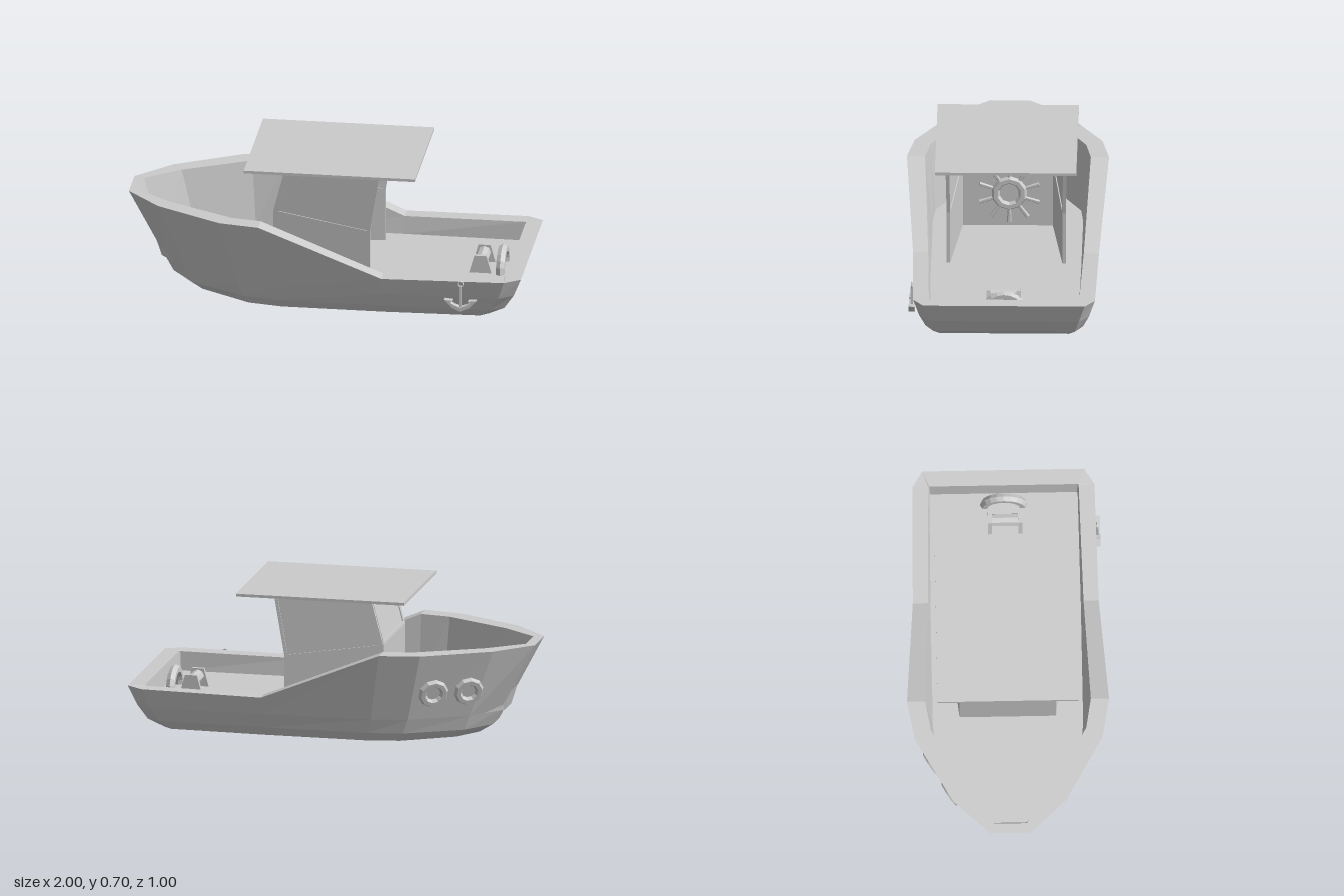
import * as THREE from 'three';

const material = new THREE.MeshStandardMaterial({ color: 0xcccccc, flatShading: true, side: THREE.DoubleSide });

function add(parent, name, geometry, x = 0, y = 0, z = 0) {
  const mesh = new THREE.Mesh(geometry, material);
  mesh.name = name;
  mesh.position.set(x, y, z);
  parent.add(mesh);
  return mesh;
}

// Hull rows from keel to inner floor; each holds [x, y, half width] from bow to stern
const FLOOR = 0.12;
const KEEL = [[-0.71, 0.06], [-0.62, 0.19], [-0.37, 0.34], [-0.2, 0.37], [0.31, 0.37], [0.79, 0.355], [0.83, 0.32]].map(([x, z]) => [x, 0, z]);
const BILGE = [[-0.78, 0.075], [-0.67, 0.22], [-0.39, 0.37], [-0.22, 0.4], [0.31, 0.4], [0.84, 0.39], [0.91, 0.35]].map(([x, z]) => [x, 0.045, z]);
const SIDE = [[-0.82, 0.08], [-0.7, 0.23], [-0.42, 0.385], [-0.24, 0.42], [0.31, 0.435], [0.89, 0.42], [0.96, 0.37]].map(([x, z]) => [x, 0.12, z]);
const RIM_Y = [0.465, 0.465, 0.465, 0.465, 0.21, 0.217, 0.22];
const RIM = [[-1, 0.1], [-0.83, 0.28], [-0.5, 0.465], [-0.3, 0.5], [0.31, 0.46], [0.92, 0.45], [1, 0.4]].map(([x, z], i) => [x, RIM_Y[i], z]);
const INNER = [[-0.95, 0.08], [-0.78, 0.215], [-0.45, 0.385], [-0.3, 0.41], [0.31, 0.385], [0.915, 0.372], [0.92, 0.367]].map(([x, z], i) => [x, RIM_Y[i], z]);
const DECK = [[-0.84, 0.07], [-0.7, 0.22], [-0.43, 0.36], [-0.3, 0.372], [0.31, 0.372], [0.91, 0.367], [0.915, 0.362]].map(([x, z]) => [x, FLOOR, z]);

function hullGeometry() {
  const rows = [KEEL, BILGE, SIDE, RIM, INNER, DECK];
  const n = KEEL.length, loop = 2 * n;
  const positions = [], index = [];
  for (const row of rows) {
    for (const [x, y, z] of row) positions.push(x, y, z);
    for (const [x, y, z] of [...row].reverse()) positions.push(x, y, -z);
  }
  for (let r = 0; r < rows.length - 1; r++) {
    for (let i = 0; i < loop; i++) {
      const a = r * loop + i, b = r * loop + (i + 1) % loop;
      index.push(a, b, b + loop, a, b + loop, a + loop);
    }
  }
  // Bottom and floor strips joining the two sides
  const top = (rows.length - 1) * loop;
  for (let i = 0; i < n - 1; i++) {
    const j = loop - 1 - i;
    index.push(i, j, j - 1, i, j - 1, i + 1);
    index.push(top + i, top + i + 1, top + j - 1, top + i, top + j - 1, top + j);
  }
  const geometry = new THREE.BufferGeometry();
  geometry.setAttribute('position', new THREE.Float32BufferAttribute(positions, 3));
  geometry.setIndex(index);
  const flat = geometry.toNonIndexed();
  flat.computeVertexNormals();
  return flat;
}

// Extruded outline centred on its thickness, with an optional hole
function slab(points, depth, hole) {
  const toVectors = list => list.map(p => new THREE.Vector2(...p));
  const shape = new THREE.Shape(toVectors(points));
  if (hole) shape.holes.push(new THREE.Path(toVectors(hole)));
  return new THREE.ExtrudeGeometry(shape, { depth, bevelEnabled: false }).translate(0, 0, -depth / 2);
}

// Move every vertex by a rule
function bend(geometry, rule) {
  const p = geometry.attributes.position;
  const v = new THREE.Vector3();
  for (let i = 0; i < p.count; i++) {
    rule(v.fromBufferAttribute(p, i));
    p.setXYZ(i, v.x, v.y, v.z);
  }
  geometry.computeVertexNormals();
  return geometry;
}

function createCabin() {
  const cabin = new THREE.Group();
  cabin.name = 'cabin';
  const outline = [[-0.26, FLOOR], [0.23, FLOOR], [0.23, 0.39], [0.28, 0.69], [-0.2, 0.69], [-0.26, 0.455]];
  const pane = [[-0.235, 0.455], [0.215, 0.395], [0.262, 0.678], [-0.182, 0.678]];
  // Side walls spread apart towards the stern
  for (const s of [1, -1]) {
    const spread = v => { v.z += s * (0.23 + (v.x + 0.26) * 0.115); };
    const side = s > 0 ? 'left' : 'right';
    add(cabin, side + 'Wall', bend(slab(outline, 0.018, pane), spread));
    add(cabin, side + 'Window', bend(slab(pane, 0.008), spread));
  }
  // Front wall, with a windscreen leaning aft
  add(cabin, 'frontWall', new THREE.BoxGeometry(0.018, 0.46 - FLOOR, 0.45), -0.252, (0.46 + FLOOR) / 2, 0);
  const lean = v => { v.x += -0.252 + (v.y - 0.46) * 0.26; };
  const rect = (w, low, high) => [[-w, low], [w, low], [w, high], [-w, high]];
  const glass = rect(0.205, 0.475, 0.678);
  add(cabin, 'windscreenFrame', bend(slab(rect(0.225, 0.46, 0.69), 0.018, glass).rotateY(Math.PI / 2), lean));
  add(cabin, 'windscreen', bend(slab(glass, 0.008).rotateY(Math.PI / 2), lean));
  add(cabin, 'roof', new THREE.BoxGeometry(0.855, 0.014, 0.7), 0.035, 0.698, 0);
  return cabin;
}

function createWheel() {
  const wheel = new THREE.Group();
  wheel.name = 'steeringWheel';
  const ring = new THREE.TorusGeometry(0.07, 0.021, 6, 10).rotateZ(Math.PI / 10).rotateY(Math.PI / 2);
  add(wheel, 'wheelRing', ring);
  for (let i = 0; i < 10; i++) {
    const spoke = new THREE.CylinderGeometry(0.011, 0.009, 0.075, 6).translate(0, 0.118, 0);
    add(wheel, 'wheelSpoke', spoke.rotateX(i * Math.PI / 5));
  }
  add(wheel, 'wheelAxle', new THREE.CylinderGeometry(0.012, 0.012, 0.05, 6).rotateZ(Math.PI / 2), -0.02, 0.07, 0);
  wheel.position.set(-0.205, 0.31, -0.008);
  return wheel;
}

function createWinch() {
  const winch = new THREE.Group();
  winch.name = 'winch';
  const plate = [[-0.055, 0], [0.055, 0], [0.03, 0.09], [-0.03, 0.09]];
  for (const s of [1, -1]) add(winch, 'winchBracket', slab(plate, 0.02), 0, 0, s * 0.075);
  add(winch, 'winchDrum', new THREE.CylinderGeometry(0.032, 0.032, 0.14, 8).rotateX(Math.PI / 2), 0, 0.052, 0);
  winch.position.set(0.755, FLOOR, 0.005);
  return winch;
}

function createAnchor() {
  const anchor = new THREE.Group();
  anchor.name = 'anchor';
  add(anchor, 'anchorRing', new THREE.TorusGeometry(0.014, 0.005, 5, 8), 0, 0.203, 0);
  add(anchor, 'anchorShank', new THREE.BoxGeometry(0.014, 0.12, 0.014), 0, 0.135, 0);
  // Arms sweep up from the crown to flared flukes
  const half = [[0.045, 0.083], [0.082, 0.122], [0.04, 0.118], [0.052, 0.108], [0.03, 0.094]];
  const mirrored = half.map(([x, y]) => [-x, y]).reverse();
  add(anchor, 'anchorArms', slab([[0, 0.062], ...half, [0, 0.084], ...mirrored], 0.03));
  anchor.position.set(0.706, 0, 0.46);
  return anchor;
}

// Ring fenders lying flat on the right bow panel
function addFenders(boat) {
  const corner = ([x, y, z]) => new THREE.Vector3(x, y, -z);
  const [a, b, c, d] = [SIDE[1], SIDE[2], RIM[1], RIM[2]].map(corner);
  const normal = b.clone().sub(c).cross(a.clone().sub(d)).normalize();
  if (normal.z > 0) normal.negate();
  for (const u of [0.17, 0.7]) {
    const low = a.clone().lerp(b, u), high = c.clone().lerp(d, u);
    const p = low.lerp(high, 0.41).addScaledVector(normal, 0.008);
    const ring = add(boat, 'bowRing', new THREE.TorusGeometry(0.056, 0.021, 6, 10), p.x, p.y, p.z);
    ring.quaternion.setFromUnitVectors(new THREE.Vector3(0, 0, 1), normal);
  }
}

export function createModel() {
  const boat = new THREE.Group();
  boat.name = 'boat';
  add(boat, 'hull', hullGeometry());
  boat.add(createCabin(), createWheel(), createWinch(), createAnchor());
  // Half-hoop standing on the aft deck
  add(boat, 'towingHoop', new THREE.TorusGeometry(0.094, 0.024, 6, 10, Math.PI).rotateY(Math.PI / 2), 0.855, FLOOR, 0);
  addFenders(boat);
  return boat;
}
